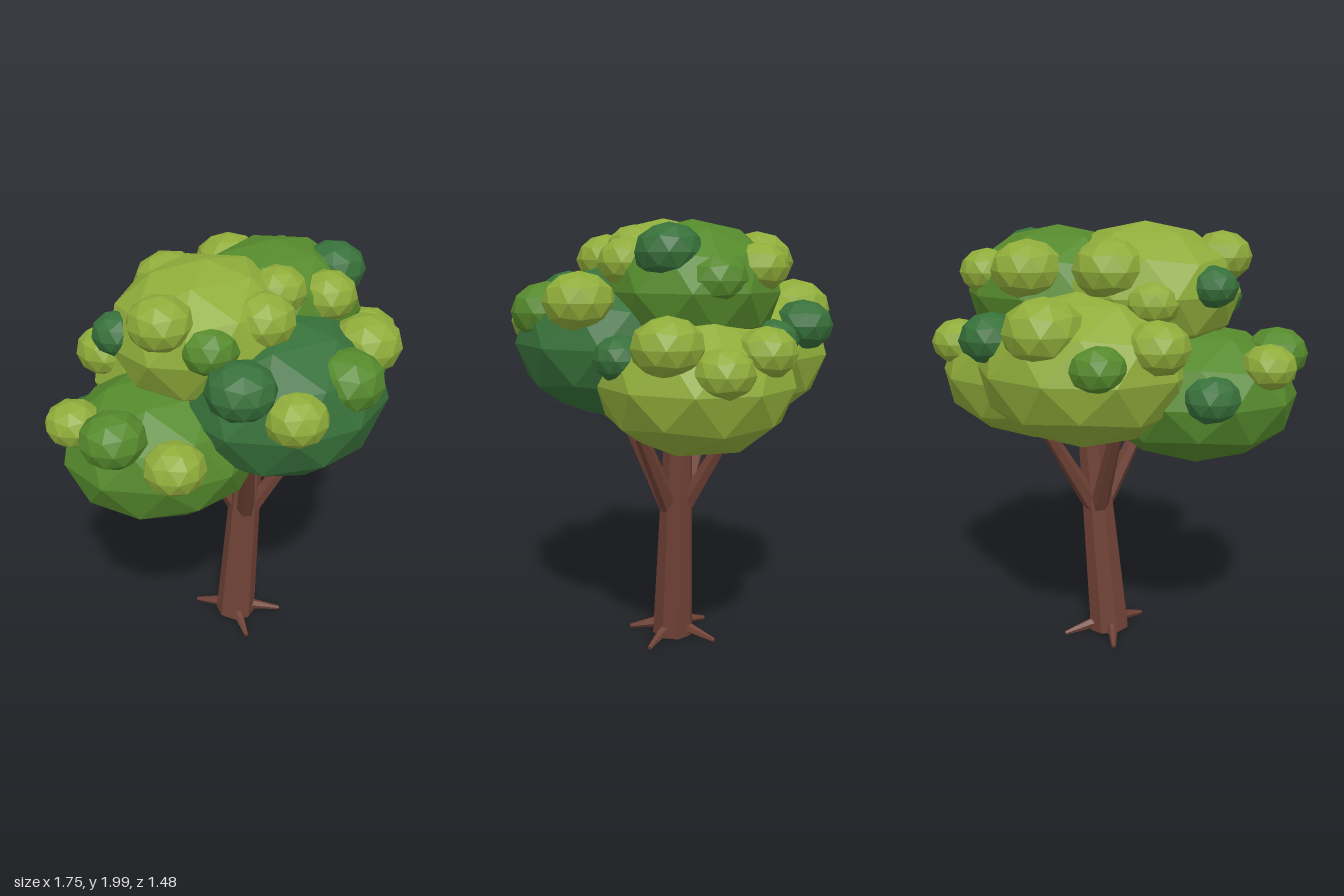
import * as THREE from 'three';

const mat = (name, color) => Object.assign(new THREE.MeshStandardMaterial({ color, flatShading: true }), { name });

export function createModel() {
  const tree = new THREE.Group();
  tree.name = 'tree';
  const bark = mat('bark', 0x6e4135);
  const light = mat('lightLeaf', 0x8fac3a);
  const mid = mat('midLeaf', 0x55892c);
  const dark = mat('darkLeaf', 0x37703a);

  // Tapered limb between two points
  const limb = (name, from, to, r0, r1, sides) => {
    const a = new THREE.Vector3(...from), b = new THREE.Vector3(...to);
    const dir = b.clone().sub(a);
    const mesh = new THREE.Mesh(new THREE.CylinderGeometry(r1, r0, dir.length(), sides), bark);
    mesh.position.copy(a).add(b).multiplyScalar(0.5);
    mesh.quaternion.setFromUnitVectors(new THREE.Vector3(0, 1, 0), dir.normalize());
    mesh.name = name;
    tree.add(mesh);
  };

  limb('trunk', [0.01, 0.015, 0], [0.1, 1.0, 0], 0.1, 0.067, 8);

  // Four branches and four roots spread diagonally
  for (const s of [1, -1]) {
    limb('branch', [0.08, 0.66, 0.03 * s], [0.24, 1.08, 0.22 * s], 0.045, 0.028, 6);
    limb('branch', [0.05, 0.66, 0.03 * s], [-0.14, 1.18, 0.24 * s], 0.045, 0.028, 6);
    limb('root', [0.06, 0.05, 0.05 * s], [0.18, 0.015, 0.16 * s], 0.028, 0.01, 6);
    limb('root', [-0.03, 0.05, 0.06 * s], [-0.09, 0.015, 0.19 * s], 0.028, 0.01, 6);
  }

  // Faceted ball with a corner at the top
  const ball = new THREE.IcosahedronGeometry(1, 1);
  ball.rotateZ(-Math.atan(2 / (1 + Math.sqrt(5))));
  const blob = (name, material, x, y, z, rx, ry, rz, turn) => {
    const mesh = new THREE.Mesh(ball, material);
    mesh.position.set(x, y, z);
    mesh.scale.set(rx, ry, rz);
    mesh.rotation.y = turn;
    mesh.name = name;
    tree.add(mesh);
  };

  // Main crown masses
  [
    [mid, -0.4, 1.26, 0, 0.46, 0.31, 0.41],
    [light, 0.37, 1.3, 0, 0.47, 0.32, 0.43],
    [dark, 0.01, 1.45, 0.29, 0.48, 0.34, 0.43],
    [light, 0, 1.39, -0.29, 0.48, 0.34, 0.44],
    [light, -0.16, 1.7, 0, 0.43, 0.3, 0.39],
    [mid, 0.25, 1.68, -0.02, 0.43, 0.3, 0.38],
  ].forEach((c) => blob('crown', ...c, 0));

  // Small leaf clumps: colour, x, y, z, radius
  [
    // right-hand mass
    [mid, -0.74, 1.44, 0.1, 0.14],
    [light, -0.61, 1.35, 0.31, 0.13],
    [light, -0.76, 1.42, -0.14, 0.12],
    [dark, -0.56, 1.3, -0.29, 0.13],
    // front mass
    [dark, -0.36, 1.64, 0.42, 0.145],
    [light, -0.22, 1.53, 0.58, 0.135],
    [mid, 0.07, 1.59, 0.58, 0.16],
    [light, 0.31, 1.64, 0.48, 0.155],
    [dark, 0.46, 1.42, 0.34, 0.12],
    // left-hand mass
    [light, 0.67, 1.48, 0.2, 0.15],
    [light, 0.75, 1.38, 0, 0.13],
    [light, 0.68, 1.45, -0.2, 0.13],
    [dark, 0.5, 1.48, -0.3, 0.11],
    // back mass
    [dark, 0.34, 1.53, -0.5, 0.135],
    [light, 0.06, 1.58, -0.57, 0.175],
    [mid, -0.18, 1.45, -0.59, 0.13],
    [light, -0.37, 1.52, -0.43, 0.14],
    // top masses
    [dark, -0.51, 1.74, -0.14, 0.11],
    [light, -0.48, 1.85, 0.1, 0.135],
    [light, -0.3, 1.68, -0.29, 0.12],
    [light, -0.11, 1.81, -0.29, 0.16],
    [light, 0.26, 1.8, -0.31, 0.16],
    [light, 0.5, 1.78, -0.23, 0.125],
    [light, 0.07, 1.86, 0.19, 0.125],
    [light, -0.11, 1.81, 0.28, 0.14],
    [light, 0.29, 1.8, 0.27, 0.13],
    [mid, -0.36, 1.75, 0.24, 0.125],
    [dark, 0.47, 1.84, 0.14, 0.145],
    [mid, 0.55, 1.73, -0.03, 0.14],
  ].forEach(([m, x, y, z, r], i) => blob('leafClump', m, x, y, z, r, r * 0.82, r, i * 0.7));

  return tree;
}
